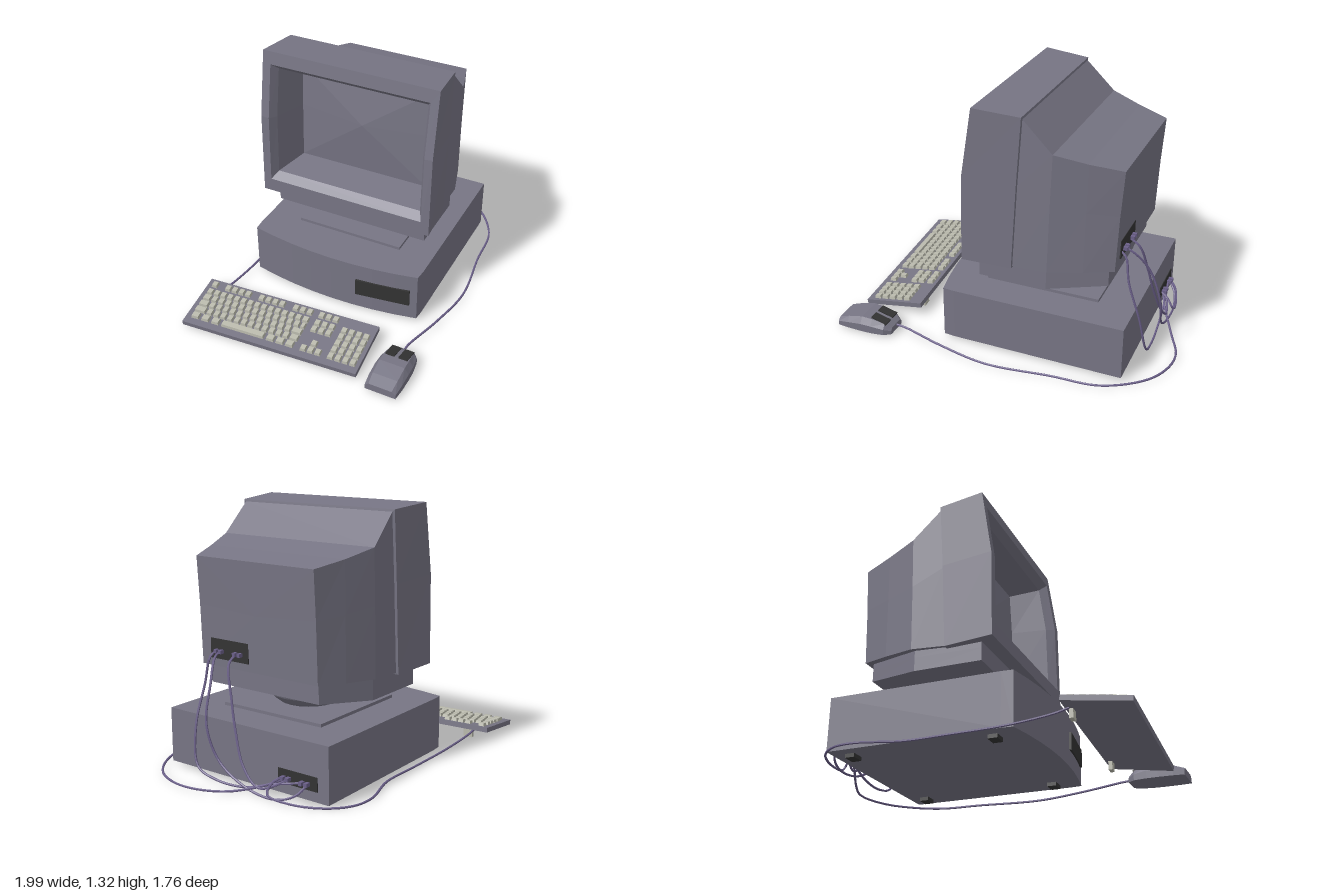
import * as THREE from 'three';

const mat = (color) => new THREE.MeshStandardMaterial({ color, flatShading: true });
const caseMat = mat(0x777584);
const darkMat = mat(0x333333);
const keyMat = mat(0xb9b9ac);
const cableMat = mat(0x6a5f88);

function add(parent, name, geometry, material, x = 0, y = 0, z = 0) {
  const mesh = new THREE.Mesh(geometry, material);
  mesh.name = name;
  mesh.position.set(x, y, z);
  parent.add(mesh);
  return mesh;
}

const box = (w, h, d) => new THREE.BoxGeometry(w, h, d);

// Six-cornered cross-section: half width, bottom and top, depth at bottom, middle and top
function ring(h, y0, y1, z0, zm = z0, z1 = z0, hTop = h) {
  const ym = y0 + (y1 - y0) * 0.56;
  return [[-h, y0, z0], [h, y0, z0], [h, ym, zm], [hTop, y1, z1], [-hTop, y1, z1], [-h, ym, zm]];
}

// Skins cross-sections from front to back and closes both ends; bulge domes the first cap
function loft(rings, bulge = 0) {
  const pos = [];
  const tri = (a, b, c) => pos.push(...a, ...b, ...c);
  const middle = (r) => [0, 1, 2].map((k) => r.reduce((s, p) => s + p[k], 0) / r.length);
  const first = rings[0], last = rings[rings.length - 1], n = first.length;
  const c0 = middle(first), c1 = middle(last);
  c0[2] += bulge;
  for (let j = 0; j < n; j++) {
    const k = (j + 1) % n;
    tri(c0, first[j], first[k]);
    tri(c1, last[k], last[j]);
    for (let i = 0; i + 1 < rings.length; i++) {
      const a = rings[i], b = rings[i + 1];
      tri(a[j], b[j], b[k]);
      tri(a[j], b[k], a[k]);
    }
  }
  const g = new THREE.BufferGeometry();
  g.setAttribute('position', new THREE.Float32BufferAttribute(pos, 3));
  g.computeVertexNormals();
  return g;
}

function cable(parent, name, points) {
  const curve = new THREE.CatmullRomCurve3(points.map((p) => new THREE.Vector3(...p)));
  add(parent, name, new THREE.TubeGeometry(curve, points.length * 6, 0.006, 6), cableMat);
}

function buildComputer() {
  const g = new THREE.Group();
  g.name = 'computer';

  // Desktop case with a bowed front panel
  const outline = [[-0.493, 0.785], [0.493, 0.785], [0.493, -0.125]];
  for (let i = 0; i <= 8; i++) {
    const t = 1 - i / 4;
    outline.push([0.488 * t, -0.185 - 0.055 * (1 - t * t)]);
  }
  outline.push([-0.493, -0.125]);
  const shape = new THREE.Shape(outline.map((p) => new THREE.Vector2(...p)));
  const caseGeo = new THREE.ExtrudeGeometry(shape, { depth: 0.28, bevelEnabled: false });
  caseGeo.rotateX(-Math.PI / 2);
  add(g, 'desktopCase', caseGeo, caseMat, 0, 0.02, 0);
  add(g, 'driveSlot', box(0.3, 0.095, 0.03), darkMat, 0.3, 0.158, 0.211).rotation.y = 0.14;
  for (const x of [-0.4, 0.4]) for (const z of [-0.69, 0.06]) {
    add(g, 'caseFoot', box(0.07, 0.02, 0.05), darkMat, x, 0.01, z);
  }
  add(g, 'casePortPanel', box(0.23, 0.07, 0.012), darkMat, -0.316, 0.105, -0.783);

  // Swivel stand
  add(g, 'standPlate', box(0.608, 0.016, 0.608), caseMat, 0, 0.308, -0.29);
  const bowl = [[0, 0.31], [0.14, 0.31], [0.17, 0.33], [0.2, 0.36], [0.212, 0.385], [0.212, 0.41], [0, 0.41]];
  add(g, 'swivel', new THREE.LatheGeometry(bowl.map((p) => new THREE.Vector2(...p)), 20), caseMat, 0, 0, -0.29);
  add(g, 'monitorTray', loft([
    ring(0.438, 0.4, 0.52, 0),
    ring(0.438, 0.4, 0.53, -0.36),
    ring(0.335, 0.43, 0.55, -0.65),
  ]), caseMat);

  // Monitor shell: screen, recess, bezel, then the tapering back
  add(g, 'monitor', loft([
    ring(0.37, 0.63, 1.18, -0.16, -0.17, -0.185),
    ring(0.42, 0.61, 1.215, 0.03, 0.02, -0.02),
    ring(0.445, 0.575, 1.25, 0.075, 0.066, 0.02),
    ring(0.49, 0.5, 1.32, 0.075, 0.066, 0.01),
    ring(0.468, 0.492, 1.302, -0.185, -0.21, -0.235),
    ring(0.455, 0.5, 1.29, -0.187, -0.212, -0.237),
    ring(0.46, 0.51, 1.14, -0.37, -0.38, -0.39),
    ring(0.41, 0.52, 1.1, -0.54, -0.545, -0.55),
    ring(0.357, 0.53, 1.07, -0.685, -0.697, -0.712),
  ], 0.03), caseMat);
  add(g, 'monitorPortPanel', box(0.24, 0.1, 0.02), darkMat, 0.175, 0.62, -0.683);

  // Cable plugs
  for (const x of [0.1, 0.13, 0.22, 0.25]) {
    add(g, 'monitorPlug', box(0.018, 0.018, 0.03), cableMat, x, 0.61, -0.7);
  }
  for (const x of [-0.38, -0.35, -0.27, -0.24]) {
    add(g, 'casePlug', box(0.018, 0.018, 0.03), cableMat, x, 0.1, -0.8);
  }
  g.rotation.y = -Math.PI / 3;
  g.position.set(-0.02, 0, -0.035);
  return g;
}

// Key cap, narrower at the top
function keyGeometry(w, d) {
  const g = box(w, 0.018, d);
  const p = g.attributes.position;
  for (let i = 0; i < p.count; i++) {
    if (p.getY(i) > 0) {
      p.setX(i, p.getX(i) - Math.sign(p.getX(i)) * 0.004);
      p.setZ(i, p.getZ(i) * 0.8);
    }
  }
  g.computeVertexNormals();
  return g;
}

function buildKeyboard() {
  const g = new THREE.Group();
  g.name = 'keyboard';
  const slab = new THREE.Group();
  slab.name = 'keyboardSlab';
  slab.rotation.x = 0.13;
  slab.position.y = 0.046;
  g.add(slab);
  add(slab, 'keyboardCase', box(1, 0.026, 0.325), caseMat);
  const key = keyGeometry(0.034, 0.037);
  const put = (x, z, geo = key) => add(slab, 'key', geo, keyMat, x, 0.02, z);
  const rows = [-0.07, -0.026, 0.018, 0.062, 0.106];

  // Function row in groups, main block staggered by row
  for (let i = 0; i < 15; i++) if (i !== 1 && i !== 6 && i !== 11) put(-0.455 + i * 0.041, -0.125);
  rows.forEach((z, r) => {
    if (r === 4) return;
    const wide = 0.034 + r * 0.01;
    put(-0.472 + wide / 2, z, keyGeometry(wide, 0.037));
    const start = -0.472 + wide + 0.007;
    for (let i = 0; i < 13 - (r > 1 ? 1 : 0); i++) put(start + 0.017 + i * 0.041, z);
    const used = start + (13 - (r > 1 ? 1 : 0)) * 0.041;
    put((used + 0.138) / 2, z, keyGeometry(0.138 - used, 0.037));
  });
  for (const x of [-0.445, -0.385, -0.325, 0.0, 0.055, 0.11]) put(x, rows[4], keyGeometry(0.045, 0.037));
  put(-0.162, rows[4], keyGeometry(0.25, 0.037));

  // Navigation block, arrows and number pad
  for (let i = 0; i < 3; i++) {
    const x = 0.188 + i * 0.041;
    put(x, -0.125);
    put(x, rows[0]);
    put(x, rows[1]);
    put(x, rows[4]);
  }
  put(0.229, rows[3]);
  for (const z of rows) for (let i = 0; i < 4; i++) put(0.341 + i * 0.041, z);
  for (const x of [-0.38, 0.38]) add(g, 'keyboardFoot', box(0.05, 0.045, 0.02), keyMat, x, 0.0275, -0.135);
  g.rotation.y = -0.983;
  g.position.set(-0.585, 0, 0.152);
  return g;
}

function buildMouse() {
  const g = new THREE.Group();
  g.name = 'mouse';
  const s = (h, top, z, y0 = 0.01) => ring(h, y0, top, z, z, z, h * 0.75);
  add(g, 'mouseBody', loft([
    s(0.084, 0.05, 0.15), s(0.09, 0.07, 0.09), s(0.092, 0.088, 0.01),
    s(0.09, 0.085, -0.05), s(0.08, 0.068, -0.12), s(0.055, 0.045, -0.155),
  ]), caseMat);
  for (const x of [-0.036, 0.036]) {
    add(g, 'mouseButton', box(0.05, 0.012, 0.09), darkMat, x, 0.076, -0.085).rotation.x = -0.24;
  }
  g.rotation.y = -Math.PI / 3;
  g.position.set(-0.27, 0, 0.735);
  return g;
}

export function createModel() {
  const model = new THREE.Group();
  model.name = 'desktopComputer';
  model.add(buildComputer(), buildKeyboard(), buildMouse());

  // Cables lying on the floor
  cable(model, 'mouseCable', [
    [-0.15, 0.035, 0.66], [-0.1, 0.03, 0.63], [0.14, 0.02, 0.56], [0.4, 0.012, 0.46], [0.67, 0.01, 0.26],
    [0.88, 0.01, 0.11], [0.985, 0.012, -0.1], [0.98, 0.012, -0.25], [0.92, 0.01, -0.37],
    [0.78, 0.01, -0.48], [0.63, 0.05, -0.58], [0.535, 0.1, -0.65],
  ]);
  cable(model, 'keyboardCable', [
    [-0.7, 0.05, -0.27], [-0.64, 0.035, -0.3], [-0.45, 0.015, -0.4], [-0.18, 0.01, -0.55], [0.03, 0.01, -0.67],
    [0.19, 0.01, -0.83], [0.3, 0.01, -0.875], [0.43, 0.01, -0.85], [0.56, 0.01, -0.74],
    [0.63, 0.03, -0.64], [0.6, 0.08, -0.63], [0.55, 0.1, -0.63],
  ]);

  // Cables hanging from the monitor to the case
  cable(model, 'videoCable', [
    [0.7, 0.61, -0.14], [0.74, 0.58, -0.15], [0.77, 0.45, -0.15], [0.83, 0.25, -0.18], [0.84, 0.06, -0.23],
    [0.78, 0.015, -0.33], [0.68, 0.015, -0.48], [0.6, 0.06, -0.6], [0.49, 0.1, -0.74],
  ]);
  cable(model, 'powerCable', [
    [0.69, 0.61, -0.17], [0.73, 0.59, -0.2], [0.78, 0.48, -0.28], [0.82, 0.3, -0.33], [0.78, 0.13, -0.39],
    [0.69, 0.03, -0.53], [0.6, 0.015, -0.68], [0.53, 0.05, -0.75], [0.475, 0.1, -0.76],
  ]);
  cable(model, 'signalCable', [
    [0.64, 0.61, -0.26], [0.69, 0.57, -0.29], [0.7, 0.42, -0.35], [0.7, 0.28, -0.4], [0.69, 0.12, -0.48],
    [0.65, 0.04, -0.57], [0.58, 0.07, -0.64], [0.53, 0.1, -0.66],
  ]);
  return model;
}
